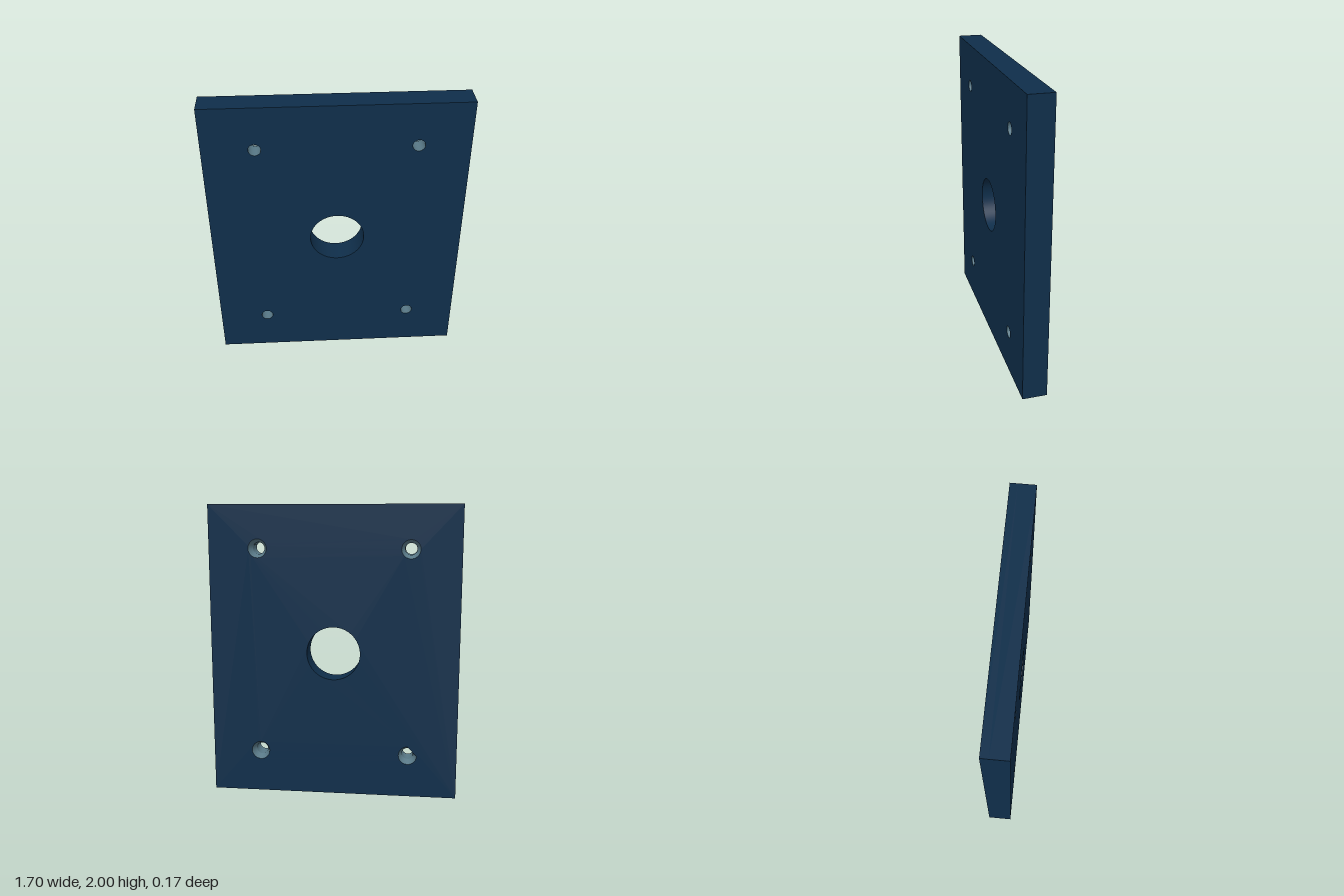
import * as THREE from 'three';
import { toCreasedNormals } from 'three/addons/utils/BufferGeometryUtils.js';

const W = 1.7, H = 2, D = 0.165;
const BORE = 0.04, SINK = 0.063, SINK_DEPTH = 0.05, SIDES = 24;
const CENTRES = [[-0.515, 0.295], [0.515, 0.295], [-0.515, 1.708], [0.515, 1.708]];

function circle(cx, cy, r, n) {
  const pts = [];
  for (let i = 0; i < n; i++) {
    const a = -i / n * Math.PI * 2;
    pts.push(new THREE.Vector2(cx + r * Math.cos(a), cy + r * Math.sin(a)));
  }
  return new THREE.Path(pts);
}

export function createModel() {
  const navy = new THREE.MeshStandardMaterial({ color: 0x0f2e4a });
  navy.name = 'navy plate';
  const steel = new THREE.MeshStandardMaterial({ color: 0x587886 });
  steel.name = 'grey blue bore';

  // Plate outline, central opening, then the four screw holes
  const outline = new THREE.Shape([[-W / 2, 0], [W / 2, 0], [W / 2, H], [-W / 2, H]]
    .map(([x, y]) => new THREE.Vector2(x, y)));
  outline.holes.push(circle(0, 1, 0.182, 64));
  for (const [x, y] of CENTRES) outline.holes.push(circle(x, y, BORE, SIDES));

  let geo = new THREE.ExtrudeGeometry(outline, { depth: D, steps: 2, bevelEnabled: false });
  geo.translate(0, 0, -D / 2);

  // Flare the screw holes at the back into countersinks
  const p = geo.attributes.position;
  for (let i = 0; i < p.count; i++) {
    const z = p.getZ(i);
    if (Math.abs(z) < 0.001) p.setZ(i, -D / 2 + SINK_DEPTH);
    if (z > -D / 2 + 0.001) continue;
    for (const [cx, cy] of CENTRES) {
      const dx = p.getX(i) - cx, dy = p.getY(i) - cy;
      if (Math.hypot(dx, dy) < BORE + 0.002) {
        p.setXY(i, cx + dx * SINK / BORE, cy + dy * SINK / BORE);
        break;
      }
    }
  }
  geo = toCreasedNormals(geo, 0.35);

  // The screw hole walls come last in the geometry
  const boreCount = CENTRES.length * SIDES * 2 * 6;
  geo.clearGroups();
  geo.addGroup(0, p.count - boreCount, 0);
  geo.addGroup(p.count - boreCount, boreCount, 1);

  const plate = new THREE.Mesh(geo, [navy, steel]);
  plate.name = 'mountingPlate';
  const group = new THREE.Group();
  group.name = 'drilledPlate';
  group.add(plate);
  return group;
}
